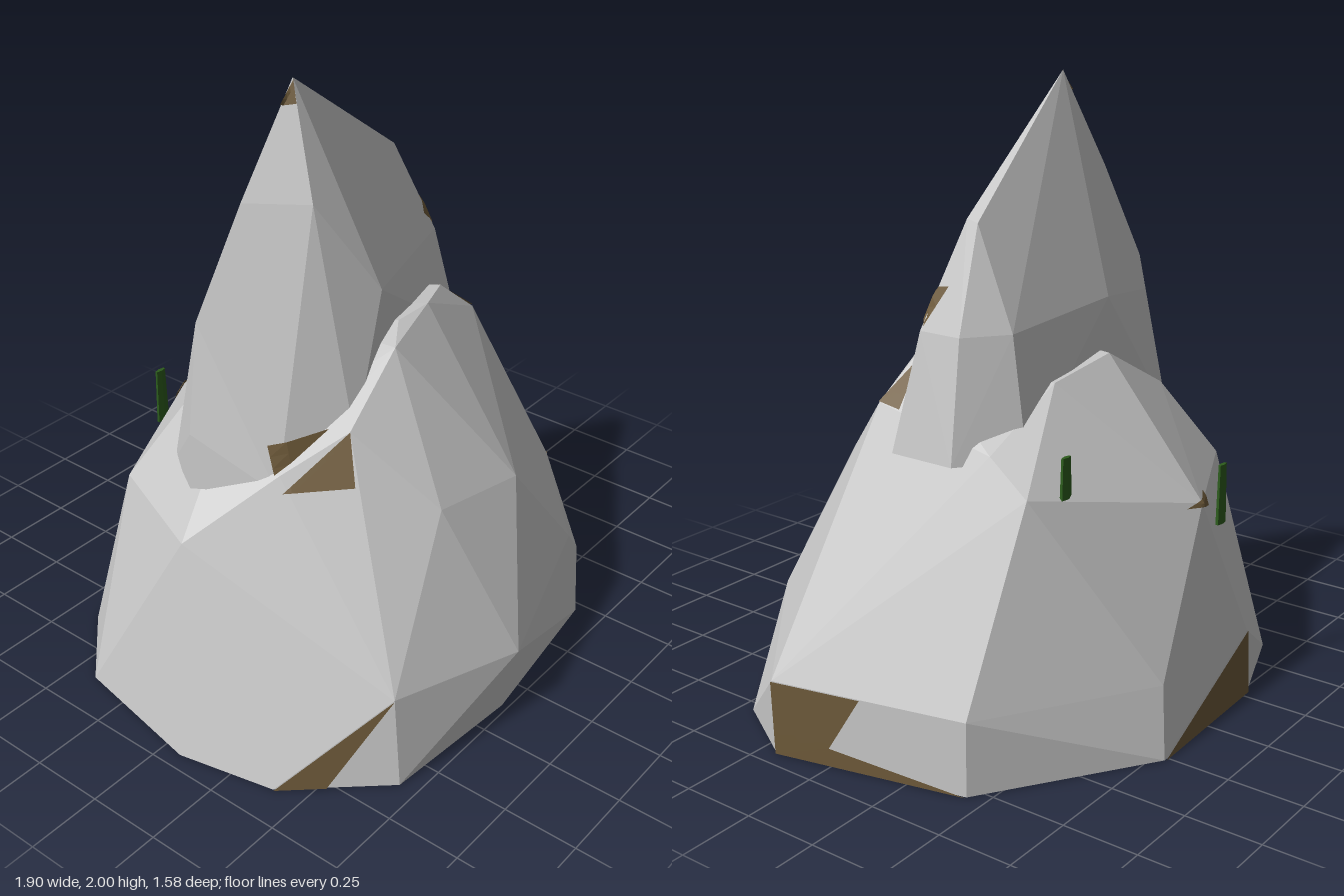
import * as THREE from 'three';
import { ConvexGeometry } from 'three/addons/geometries/ConvexGeometry.js';

const stone = new THREE.MeshStandardMaterial({ name: 'paleStone', color: 0xc8c8c8, flatShading: true, side: THREE.DoubleSide });
const earth = new THREE.MeshStandardMaterial({ name: 'brownEarth', color: 0x6e5a3a, flatShading: true, side: THREE.DoubleSide });
const moss = new THREE.MeshStandardMaterial({ name: 'greenMoss', color: 0x2c5c1c, flatShading: true });

const vec = (p) => new THREE.Vector3(...p);

function addMesh(group, name, geometry, material) {
  const mesh = new THREE.Mesh(geometry, material);
  mesh.name = name;
  group.add(mesh);
  return mesh;
}

// Faceted rock wrapped around a few corner points
const rock = (group, name, points) => addMesh(group, name, new ConvexGeometry(points.map(vec)), stone);

// Thin triangular patch that is subdivided and pressed onto a rock
function patch(group, name, target, corners, n = 8) {
  const [a, b, c] = corners.map(vec);
  const center = new THREE.Box3().setFromObject(target).getCenter(new THREE.Vector3());
  const normal = b.clone().sub(a).cross(c.clone().sub(a)).normalize();
  const middle = a.clone().add(b).add(c).divideScalar(3);
  if (normal.dot(middle.sub(center)) < 0) normal.negate();
  const ray = new THREE.Raycaster();
  const place = (i, j) => {
    const p = a.clone().addScaledVector(b.clone().sub(a), i / n).addScaledVector(c.clone().sub(a), j / n);
    ray.set(p.clone().addScaledVector(normal, 0.3), normal.clone().negate());
    const hit = ray.intersectObject(target)[0];
    const base = hit && hit.point.distanceTo(p) < 0.12 ? hit.point : p;
    return base.clone().addScaledVector(normal, 0.006);
  };
  const points = [];
  for (let i = 0; i < n; i++) {
    for (let j = 0; j < n - i; j++) {
      points.push(place(i, j), place(i + 1, j), place(i, j + 1));
      if (i + j < n - 1) points.push(place(i + 1, j), place(i + 1, j + 1), place(i, j + 1));
    }
  }
  const geometry = new THREE.BufferGeometry().setFromPoints(points);
  geometry.computeVertexNormals();
  addMesh(group, name, geometry, earth);
}

export function createModel() {
  const model = new THREE.Group();
  model.name = 'rockFormation';

  // Footprint as x, z pairs
  const footprint = [
    [-0.95, 0.07], [-0.88, 0.4], [-0.62, 0.69], [-0.12, 0.73], [0.46, 0.65], [0.79, 0.45],
    [0.945, 0.19], [0.8, -0.44], [0.27, -0.79], [-0.28, -0.77], [-0.63, -0.64], [-0.86, -0.41],
  ];

  // Broad lower boulder: low shoulder, waist and crown
  const boulder = rock(model, 'lowerBoulder', [
    ...footprint.map(([x, z]) => [x, 0, z]),
    [-0.6, 0.3, 0.65], [-0.12, 0.25, 0.78], [0.46, 0.3, 0.6], [0.945, 0.24, 0.2],
    [0.8, 0.24, -0.44], [0.24, 0.23, -0.76], [-0.28, 0.22, -0.76],
    [0.14, 0.7, 0.57], [-0.23, 0.75, 0.54], [-0.8, 0.69, -0.02], [-0.62, 0.68, -0.43],
    [-0.1, 0.7, -0.68], [0.52, 0.84, -0.45],
    [-0.12, 1.18, 0.27], [0, 1.2, 0.19], [0.17, 1.19, 0.18], [0.35, 1.16, 0.1], [0.5, 1.03, 0.13],
    [-0.38, 1.01, 0.3], [-0.57, 0.9, 0.18], [-0.64, 0.87, -0.05],
    [-0.1, 1.13, -0.32], [0.2, 1.1, -0.32], [-0.45, 0.95, -0.3], [0.5, 0.94, -0.3],
  ]);

  // Upright slab rising out of the boulder
  const slab = rock(model, 'upperSlab', [
    [-0.7, 0.82, -0.07], [-0.58, 0.8, -0.25], [0.37, 0.9, -0.34], [0.56, 0.9, -0.2],
    [0.56, 0.9, 0.03], [-0.33, 0.95, 0.28], [-0.58, 0.84, 0.18],
    [-0.68, 1, -0.08], [-0.6, 1.34, -0.11], [-0.5, 1.25, -0.2], [-0.15, 1.3, -0.28], [0.36, 1.28, -0.28],
    [-0.1, 1.35, 0.2], [0.49, 1.28, -0.03], [0.49, 1.28, -0.18],
    [-0.42, 1.67, -0.08], [-0.28, 1.66, 0.08], [0.36, 1.6, -0.15], [0.36, 1.61, -0.11], [-0.2, 2, -0.06],
  ]);

  // Bare earth showing on the boulder
  const boulderPatches = [
    [[-0.6, 0.3, 0.65], [-0.88, 0, 0.4], [-0.77, 0, 0.52]],
    [[0.945, 0.24, 0.2], [0.945, 0, 0.19], [0.905, 0.05, 0.01]],
    [[0.945, 0.24, 0.2], [0.905, 0.05, 0.01], [0.88, 0.24, -0.1]],
    [[0.945, 0, 0.19], [0.8, 0, -0.44], [0.905, 0.06, 0.01]],
    [[0.27, 0, -0.79], [-0.28, 0.22, -0.76], [-0.28, 0, -0.77]],
    [[-0.17, 0.67, -0.67], [-0.03, 0.7, -0.68], [-0.17, 0.72, -0.66]],
    [[0.36, 1.15, 0.08], [0.5, 1.03, 0.13], [0.5, 1.02, 0.05]],
    [[-0.58, 0.85, 0.2], [-0.43, 0.86, 0.36], [-0.38, 1.01, 0.3]],
  ];
  boulderPatches.forEach((corners) => patch(model, 'boulderEarthPatch', boulder, corners));

  // Bare earth on the slab
  const slabPatches = [
    [[-0.58, 0.85, 0.18], [-0.38, 1.01, 0.26], [-0.58, 0.99, 0.16]],
    [[-0.2, 1.99, -0.06], [-0.26, 1.93, -0.06], [-0.22, 1.93, -0.03]],
    [[0.45, 1.43, -0.07], [0.42, 1.36, -0.03], [0.49, 1.3, -0.03]],
  ];
  slabPatches.forEach((corners) => patch(model, 'slabEarthPatch', slab, corners, 4));

  // Earth underside
  const underside = new THREE.ShapeGeometry(
    new THREE.Shape(footprint.map(([x, z]) => new THREE.Vector2(x * 0.97, z * 0.97))));
  addMesh(model, 'earthUnderside', underside.rotateX(Math.PI / 2).translate(0, -0.002, 0), earth);

  // Small moss tufts on the back
  for (const [x, y, z, height] of [[0.38, 0.88, -0.49, 0.13], [-0.21, 0.7, -0.685, 0.2]]) {
    const tuft = addMesh(model, 'mossTuft', new THREE.CylinderGeometry(0.022, 0.028, height, 6), moss);
    tuft.scale.z = 0.35;
    tuft.position.set(x, y, z);
  }
  return model;
}
